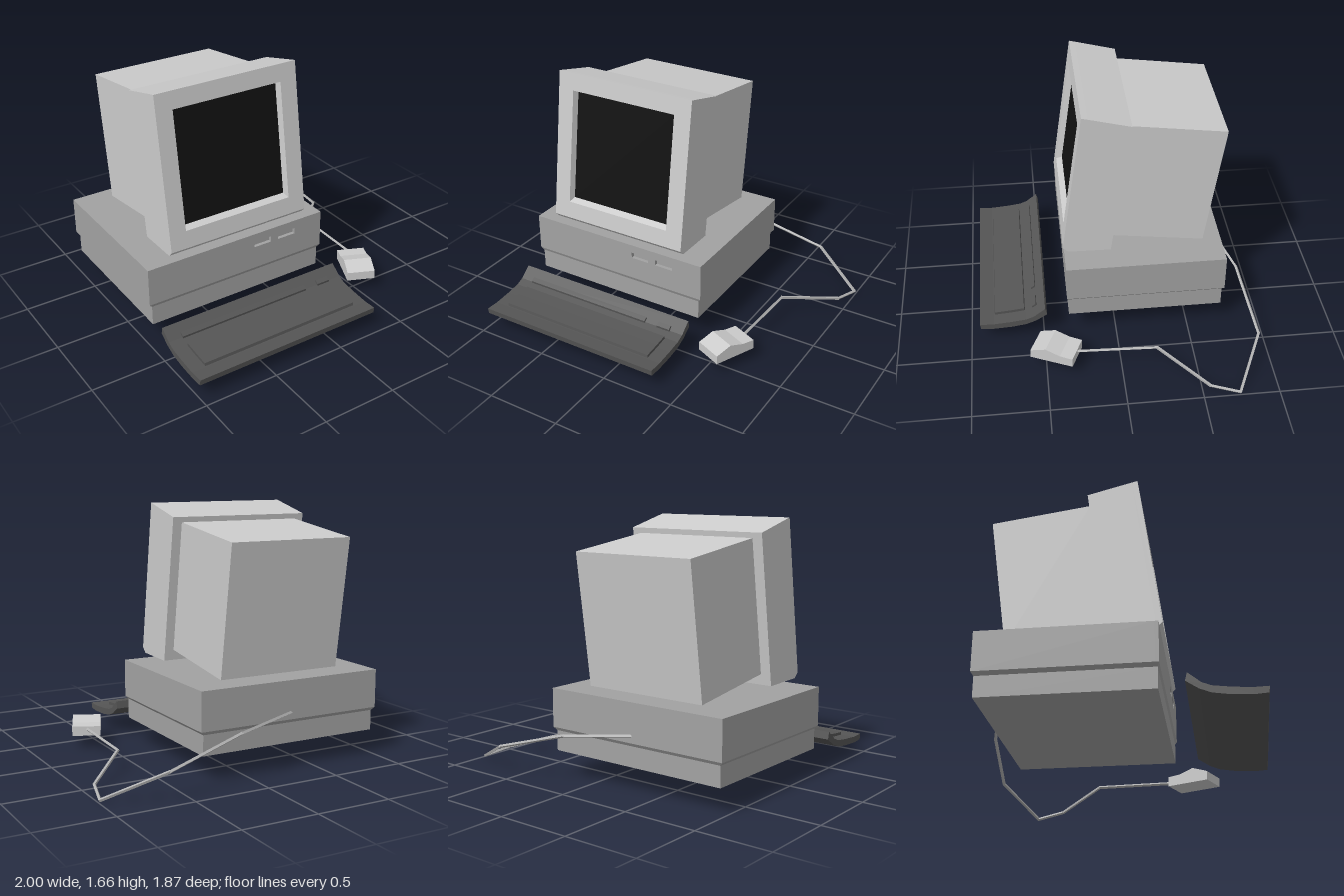
import * as THREE from 'three';

const paint = (color) => new THREE.MeshStandardMaterial({ color, flatShading: true });
const light = paint(0xcccccc);
const caseGrey = paint(0xa2a2a2);
const keyGrey = paint(0x555555);
const black = paint(0x111111);
const cableGrey = paint(0xb0b0b0);

function add(parent, name, geometry, material) {
  const mesh = new THREE.Mesh(geometry, material);
  mesh.name = name;
  parent.add(mesh);
  return mesh;
}

// Side profile of [z, y] points, swept across x0..x1
function prism(profile, x0, x1) {
  const shape = new THREE.Shape(profile.map(([z, y]) => new THREE.Vector2(z, y)));
  return new THREE.ExtrudeGeometry(shape, { depth: x1 - x0, bevelEnabled: false })
    .rotateY(-Math.PI / 2).translate(x1, 0, 0);
}

// Skin over rectangles [z, x0, x1, y0, y1], capped at both ends
function loft(rects) {
  const pos = [];
  const rings = rects.map(([z, x0, x1, y0, y1]) =>
    [[x0, y0, z], [x1, y0, z], [x1, y1, z], [x0, y1, z]]);
  const quad = (a, b, c, d) => pos.push(...a, ...b, ...c, ...a, ...c, ...d);
  for (let r = 0; r < rings.length - 1; r++) {
    for (let i = 0; i < 4; i++) {
      const j = (i + 1) % 4;
      quad(rings[r][i], rings[r][j], rings[r + 1][j], rings[r + 1][i]);
    }
  }
  const [s, e] = [rings[0], rings[rings.length - 1]];
  quad(s[3], s[2], s[1], s[0]);
  quad(e[0], e[1], e[2], e[3]);
  const g = new THREE.BufferGeometry();
  g.setAttribute('position', new THREE.Float32BufferAttribute(pos, 3));
  g.computeVertexNormals();
  return g;
}

function rectPath(path, x0, x1, y0, y1) {
  return path.moveTo(x0, y0).lineTo(x1, y0).lineTo(x1, y1).lineTo(x0, y1).closePath();
}

function buildComputer() {
  const g = new THREE.Group();
  g.name = 'computerCase';
  // Wide upper case over a slightly inset plinth
  const body = loft([
    [0.17, -0.98, 0.30, -0.325, 0.73],
    [0.303, -0.98, 0.30, -0.325, 0.73],
    [0.325, -1, 0.32, -0.335, 0.745],
    [0.325, -1, 0.32, -0.31, 0.745],
    [0.58, -1, 0.32, -0.31, 0.745],
  ]).rotateX(-Math.PI / 2);
  add(g, 'caseBody', body, caseGrey);
  // Front panel with two drive slots
  const panel = rectPath(new THREE.Shape(), -1, 0.32, 0.325, 0.58);
  for (const [x0, x1] of [[-0.215, -0.085], [-0.03, 0.105]]) {
    panel.holes.push(rectPath(new THREE.Path(), x0, x1, 0.482, 0.522));
  }
  const front = new THREE.ExtrudeGeometry(panel, { depth: 0.025, bevelEnabled: false });
  add(g, 'driveSlotPanel', front.translate(0, 0, 0.31), caseGrey);
  return g;
}

function buildMonitor() {
  const g = new THREE.Group();
  g.name = 'monitor';
  // Bezel and screen are drawn upright, then leaned back
  const face = new THREE.Group();
  face.name = 'monitorFront';
  face.position.set(0, 0.655, 0.345);
  face.rotation.x = -0.139;
  add(face, 'bezel', loft([
    [-0.325, -0.835, 0.175, 0.005, 0.979],
    [-0.04, -0.835, 0.175, -0.03, 1.011],
    [0, -0.835, 0.175, 0, 1.015],
    [0, -0.72, 0.055, 0.116, 0.899],
    [-0.04, -0.705, 0.04, 0.142, 0.889],
  ]), light);
  const screen = new THREE.PlaneGeometry(0.745, 0.747).translate(-0.3325, 0.5155, -0.038);
  add(face, 'screen', screen, black);
  g.add(face);
  add(g, 'monitorBack', prism(
    [[-0.105, 1.545], [-0.735, 1.46], [-0.615, 0.6], [0.012, 0.685]], -0.765, 0.11), light);
  return g;
}

function buildKeyboard() {
  const g = new THREE.Group();
  g.name = 'keyboard';
  // Curved tray, turned up at the rear
  add(g, 'keyboardTray', prism([
    [0.935, 0.145], [0.93, 0.106], [0.85, 0.1], [0.72, 0.107], [0.62, 0.122], [0.55, 0.15],
    [0.475, 0.2], [0.487, 0.25], [0.565, 0.187], [0.62, 0.165], [0.72, 0.152], [0.84, 0.142],
  ], -1, 0.32), keyGrey);
  add(g, 'keyBlock', prism([
    [0.835, 0.135], [0.83, 0.162], [0.72, 0.172], [0.63, 0.183], [0.622, 0.155],
  ], -0.905, 0.225), keyGrey);
  // Long and short key strips along the rear
  for (const [x0, x1] of [[-0.905, 0.035], [0.13, 0.225]]) {
    add(g, 'rearKeyStrip', prism([
      [0.572, 0.175], [0.574, 0.198], [0.548, 0.216], [0.54, 0.195],
    ], x0, x1), keyGrey);
  }
  return g;
}

function buildMouse() {
  const g = new THREE.Group();
  g.name = 'mouse';
  g.position.set(0.573, 0, 0.43);
  g.rotation.y = -0.418;
  add(g, 'mouseBody', prism([
    [-0.148, 0.09], [0.148, 0.09], [0.148, 0.15], [0.04, 0.19], [-0.06, 0.16], [-0.148, 0.155],
  ], -0.096, 0.096), light);
  return g;
}

function buildCable() {
  const g = new THREE.Group();
  g.name = 'mouseCable';
  const points = [
    [-0.33, 0.37, -0.74], [0.11, 0.325, -0.868], [0.63, 0.18, -0.925], [0.987, 0.014, -0.74],
    [0.94, 0.045, -0.55], [0.643, 0.13, -0.238], [0.625, 0.135, 0.3],
  ].map((p) => new THREE.Vector3(...p));
  // Straight square-section runs between bends
  for (let i = 0; i < points.length - 1; i++) {
    const dir = points[i + 1].clone().sub(points[i]);
    const rod = new THREE.CylinderGeometry(0.011, 0.011, dir.length() + 0.008, 4);
    const mesh = add(g, 'cableRun', rod, cableGrey);
    mesh.position.copy(points[i]).addScaledVector(dir, 0.5);
    mesh.quaternion.setFromUnitVectors(new THREE.Vector3(0, 1, 0), dir.normalize());
  }
  return g;
}

export function createModel() {
  const model = new THREE.Group();
  model.name = 'desktopComputer';
  model.add(buildComputer(), buildMonitor(), buildKeyboard(), buildMouse(), buildCable());
  return model;
}
